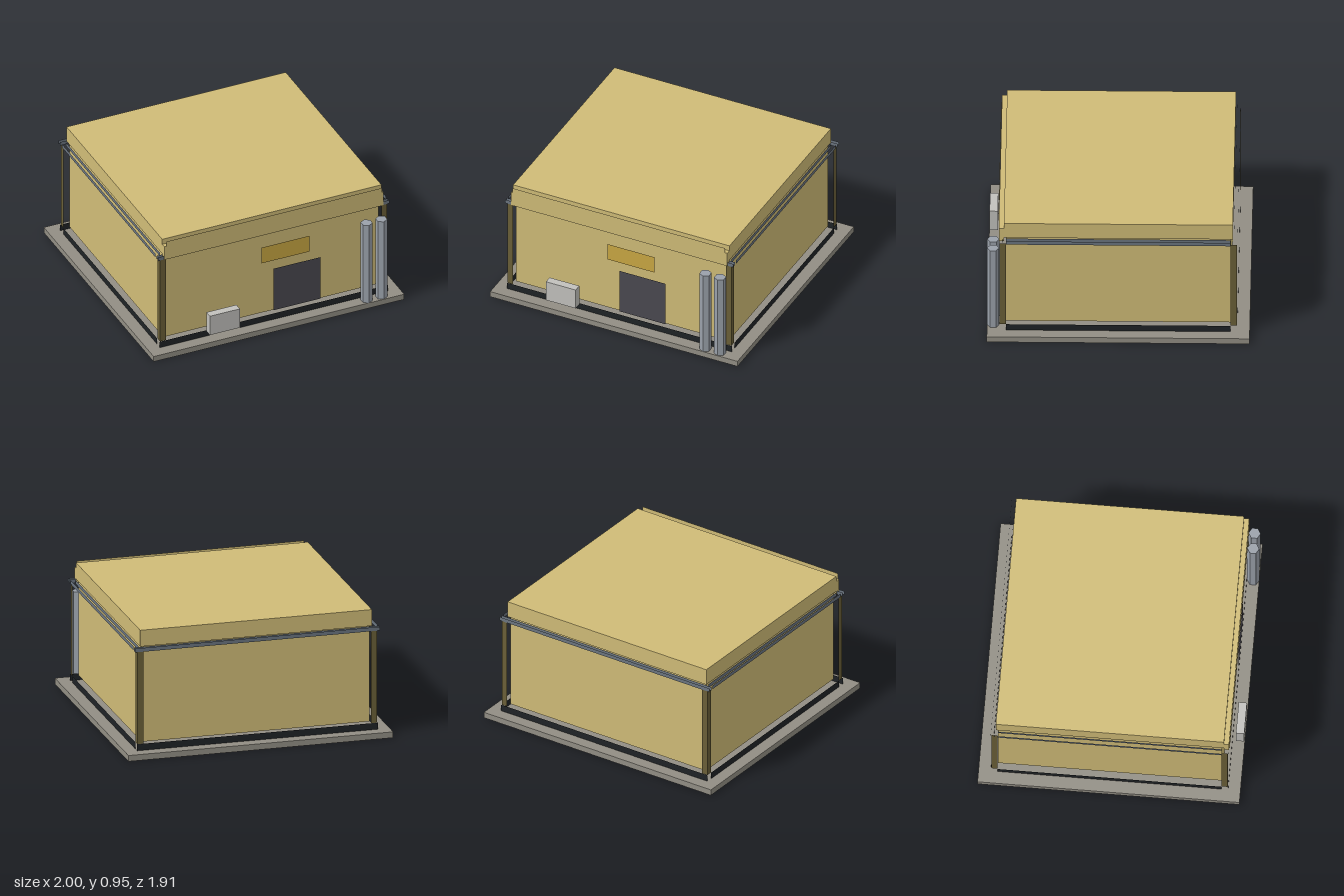
import * as THREE from 'three';

const mat = (name, color, double = false) => {
  const m = new THREE.MeshStandardMaterial({ color });
  m.name = name;
  if (double) m.side = THREE.DoubleSide;
  return m;
};

export function createModel() {
  const model = new THREE.Group();
  model.name = 'building';

  const tan = mat('tan wall', 0xd0bc77, true);
  const concrete = mat('concrete', 0x928e84);
  const black = mat('black skirt', 0x1f2326, true);
  const slate = mat('slate rail', 0x6b7580, true);
  const brown = mat('dark brown post', 0x6b6038);
  const steel = mat('steel tank', 0x9aa1aa);
  const charcoal = mat('charcoal door', 0x4a4950);
  const gold = mat('gold sign', 0xcaa843);
  const lightGrey = mat('light grey unit', 0xc2c1bd);

  const add = (name, geometry, material, x, y, z, ry = 0) => {
    const m = new THREE.Mesh(geometry, material);
    m.name = name;
    m.position.set(x, y, z);
    m.rotation.y = ry;
    model.add(m);
    return m;
  };
  // Box given by its lower and upper limits on each axis
  const box = (name, material, x0, x1, y0, y1, z0, z1) =>
    add(name, new THREE.BoxGeometry(x1 - x0, y1 - y0, z1 - z0), material,
      (x0 + x1) / 2, (y0 + y1) / 2, (z0 + z1) / 2);
  // Upright sheet facing the direction ry
  const sheet = (name, material, width, y0, y1, x, z, ry = 0) =>
    add(name, new THREE.PlaneGeometry(width, y1 - y0), material, x, (y0 + y1) / 2, z, ry);

  // Ground slab, walls and roof
  box('groundSlab', concrete, -1, 1, 0, 0.045, -0.953, 0.953);
  box('walls', tan, -0.86, 0.86, 0.095, 0.828, -0.815, 0.815);
  box('roof', tan, -0.875, 0.875, 0.826, 0.95, -0.83, 0.83);

  // Front fascia: a low box behind a taller thin sheet
  box('fasciaReturn', tan, -0.875, 0.875, 0.797, 0.907, 0.83, 0.867);
  sheet('fasciaSheet', tan, 1.72, 0.797, 0.95, 0, 0.871);

  // Thin sheets standing off the walls on all four sides
  const ring = (name, material, y0, y1, frontWidth, x, z) => {
    for (const s of [1, -1]) {
      sheet(name + (s > 0 ? 'Front' : 'Back'), material, frontWidth, y0, y1, 0, s * z, s > 0 ? 0 : Math.PI);
      sheet(name + (s > 0 ? 'Left' : 'Right'), material, 1.63, y0, y1, s * x, 0, s * Math.PI / 2);
    }
  };
  ring('skirt', black, 0.045, 0.095, 1.82, 0.908, 0.863);
  ring('outerRail', slate, 0.796, 0.825, 1.85, 0.92, 0.864);
  ring('innerRail', slate, 0.796, 0.825, 1.85, 0.885, 0.838);

  // Corner posts: two outer faces each, standing just off the wall corners
  for (const sx of [1, -1])
    for (const sz of [1, -1]) {
      sheet('cornerPostFace', brown, 0.045, 0.095, 0.796, sx * 0.8825, sz * 0.86, sz > 0 ? 0 : Math.PI);
      sheet('cornerPostSide', brown, 0.045, 0.095, 0.796, sx * 0.905, sz * 0.8375, sx * Math.PI / 2);
    }

  // Details on the front
  sheet('door', charcoal, 0.375, 0.123, 0.48, 0.1875, 0.862);
  sheet('sign', gold, 0.382, 0.552, 0.687, 0.094, 0.862);
  box('utilityUnit', lightGrey, -0.55, -0.31, 0.107, 0.269, 0.89, 0.95);

  // Six-sided upright tanks
  for (const x of [0.72, 0.838])
    add('tank', new THREE.CylinderGeometry(0.044, 0.044, 0.667, 6).toNonIndexed(), steel, x, 0.3785, 0.909)
      .geometry.computeVertexNormals();

  return model;
}
